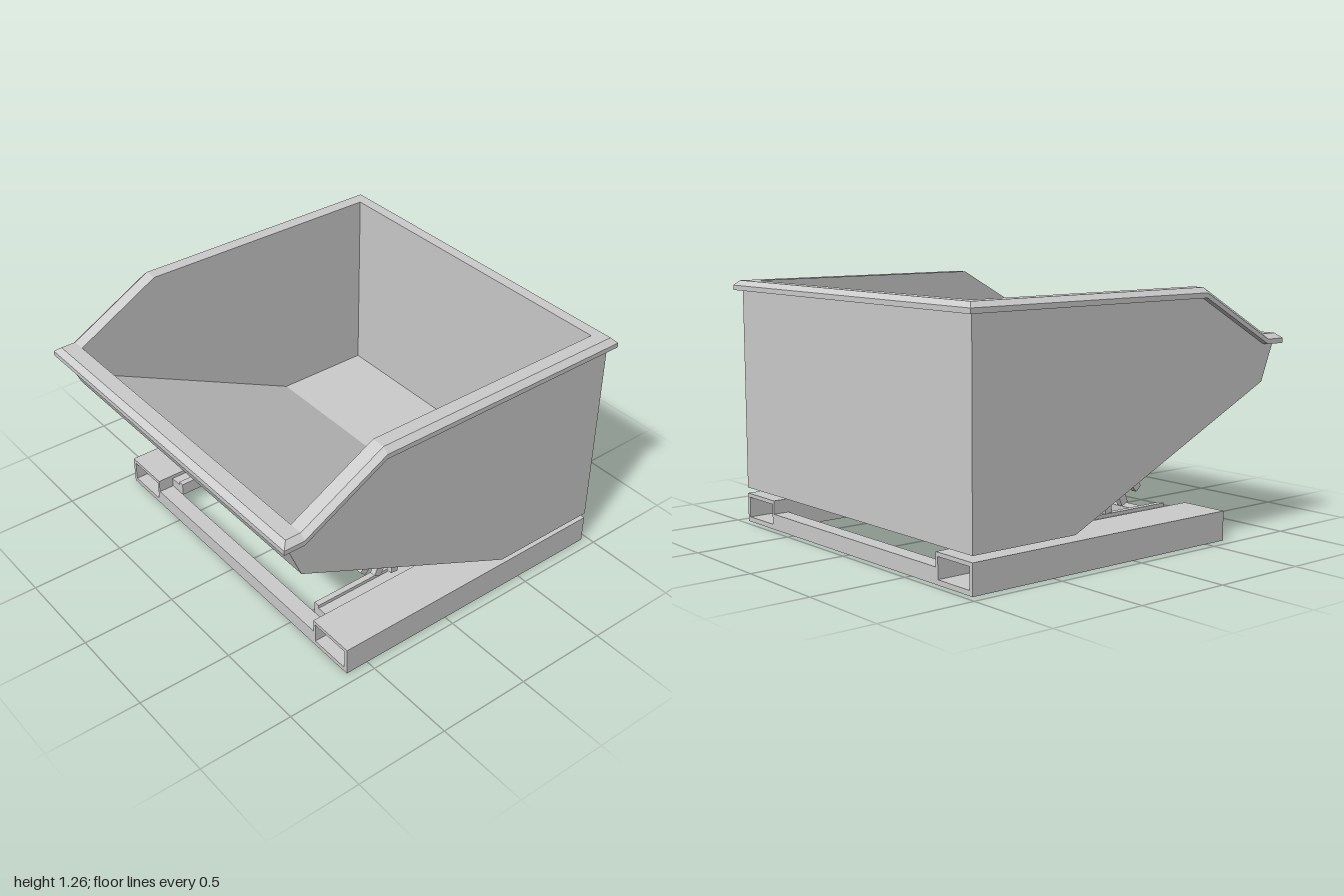
import * as THREE from 'three';

const grey = new THREE.MeshStandardMaterial({ color: 0xcccccc });

function add(group, name, geometry) {
  const mesh = new THREE.Mesh(geometry, grey);
  mesh.name = name;
  group.add(mesh);
  return mesh;
}

// Box given by its limits on each axis
function box(x0, x1, y0, y1, z0, z1) {
  return new THREE.BoxGeometry(x1 - x0, y1 - y0, z1 - z0)
    .translate((x0 + x1) / 2, (y0 + y1) / 2, (z0 + z1) / 2);
}

// Side profile of [z, y] points, extruded between x0 and x1
function sideExtrude(points, x0, x1) {
  const shape = new THREE.Shape(points.map(([z, y]) => new THREE.Vector2(z, y)));
  return new THREE.ExtrudeGeometry(shape, { depth: x1 - x0, bevelEnabled: false })
    .rotateY(-Math.PI / 2).translate(x1, 0, 0);
}

// Chamfered rim: one cross-section swept round the mitred opening
function rimGeometry() {
  const rise = [-0.05, -0.025, 0, 0, -0.05];
  const sideIn = [0, 0, 0.03, 0.1, 0.1];
  const frontIn = [0, 0, 0.03, 0.11, 0.11];
  const backIn = [0, 0, 0.025, 0.085, 0.085];
  const half = [
    { y: 1.015, z: j => 1 - frontIn[j] },
    { y: 1.015, z: () => 0.89 },
    { y: 1.265, z: () => 0.44 },
    { y: 1.265, z: j => -1 + backIn[j] },
  ];
  const stations = [
    ...half.map(s => ({ ...s, side: 1 })),
    ...half.map(s => ({ ...s, side: -1 })).reverse(),
  ];
  const n = rise.length, positions = [], index = [];
  stations.forEach((s, i) => {
    const next = (i + 1) % stations.length;
    for (let j = 0; j < n; j++) {
      positions.push(s.side * (0.98 - sideIn[j]), s.y + rise[j], s.z(j));
      const k = (j + 1) % n;
      const a = i * n + j, b = next * n + j, c = next * n + k, d = i * n + k;
      index.push(a, b, c, a, c, d);
    }
  });
  const g = new THREE.BufferGeometry();
  g.setAttribute('position', new THREE.Float32BufferAttribute(positions, 3));
  g.setIndex(index);
  const flat = g.toNonIndexed();
  flat.computeVertexNormals();
  return flat;
}

// Toothed rocker segment, angles measured from straight down
function rockerProfile() {
  const rad = Math.PI / 180, cz = 0.05, cy = 0.538;
  const inner = 0.253, root = 0.318, tip = 0.378;
  const start = -36, end = 86;
  const at = (r, deg) => [cz + r * Math.sin(deg * rad), cy - r * Math.cos(deg * rad)];
  const points = [at(root, start)];
  for (let i = 0; i < 7; i++) {
    const a = -26.3 + i * 17.3;
    points.push(at(root, a - 4), at(tip, a - 3.2), at(tip, a + 3.2), at(root, a + 4));
    if (i < 6) points.push(at(root, a + 8.65));
  }
  points.push(at(root, end));
  for (let i = 0; i <= 24; i++) points.push(at(inner, end + (start - end) * i / 24));
  return points;
}

export function createModel() {
  const model = new THREE.Group();
  model.name = 'tippingSkip';

  // Bin: two side walls, and a bent sheet for back, floor, slope and front lip
  const bin = new THREE.Group();
  bin.name = 'bin';
  model.add(bin);
  const outer = [[-0.965, 1.215], [-0.965, 0.18], [-0.37, 0.18], [0.885, 0.775], [0.965, 0.97]];
  const inner = [[0.89, 1.012], [0.81, 0.82], [-0.38, 0.245], [-0.915, 0.245], [-0.915, 1.215]];
  add(bin, 'binShell', sideExtrude([...outer, ...inner], -0.88, 0.88));
  const wall = [...outer, [0.89, 0.965], [0.44, 1.215]];
  add(bin, 'leftWall', sideExtrude(wall, 0.88, 0.945));
  add(bin, 'rightWall', sideExtrude(wall, -0.945, -0.88));
  add(bin, 'rim', rimGeometry());

  // Base frame
  const base = new THREE.Group();
  base.name = 'baseFrame';
  model.add(base);
  add(base, 'frontCrossbar', box(-0.685, 0.685, 0, 0.08, 0.54, 0.625));
  add(base, 'backCrossbar', box(-0.685, 0.685, 0, 0.08, -0.965, -0.88));

  const rocker = rockerProfile();
  for (const [label, s] of [['left', 1], ['right', -1]]) {
    // Hollow fork pocket, open at both ends
    const tube = new THREE.Shape([[-0.13, 0], [0.13, 0], [0.13, 0.15], [-0.13, 0.15]]
      .map(p => new THREE.Vector2(...p)));
    tube.holes.push(new THREE.Path([[-0.115, 0.025], [-0.115, 0.13], [0.11, 0.13], [0.11, 0.025]]
      .map(([x, y]) => new THREE.Vector2(s * x, y))));
    add(base, label + 'ForkPocket', new THREE.ExtrudeGeometry(tube, { depth: 1.59, bevelEnabled: false })
      .translate(s * 0.815, 0, -0.965));

    // Rocker track with raised inner lip
    const span = (a, b) => (s > 0 ? [a, b] : [-b, -a]);
    add(base, label + 'Track', box(...span(0.585, 0.685), 0.08, 0.13, -0.61, 0.54));
    add(base, label + 'TrackLip', box(...span(0.585, 0.617), 0.13, 0.148, -0.61, 0.54));

    add(model, label + 'Rocker', sideExtrude(rocker, ...span(0.637, 0.669)));
  }
  return model;
}
